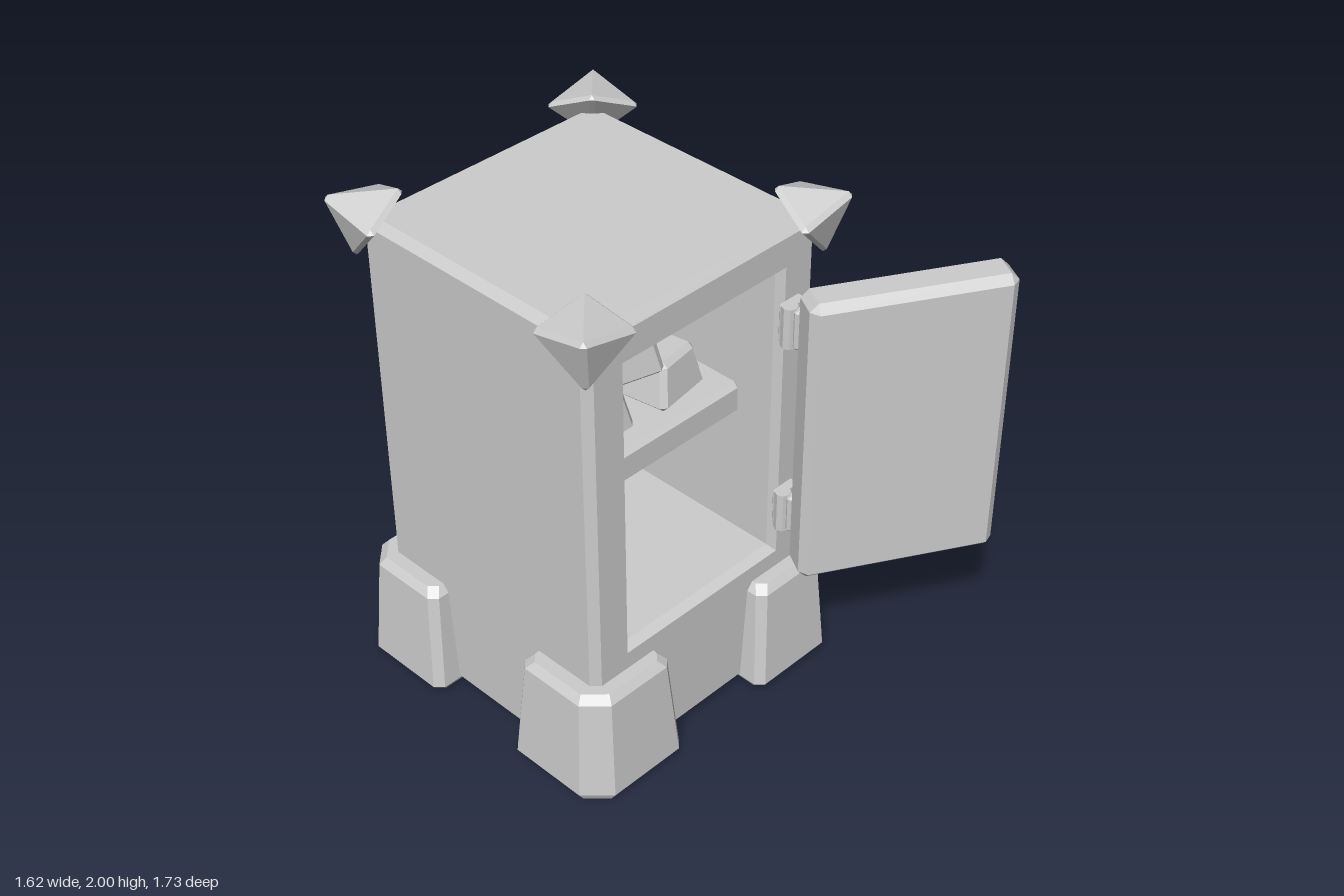
import * as THREE from 'three';
import { ConvexGeometry } from 'three/addons/geometries/ConvexGeometry.js';

const grey = new THREE.MeshStandardMaterial({ color: 0xcccccc, flatShading: true });

function part(name, geometry, parent, x = 0, y = 0, z = 0, turn = 0) {
  const mesh = new THREE.Mesh(geometry, grey);
  mesh.name = name;
  mesh.position.set(x, y, z);
  mesh.rotation.y = turn;
  parent.add(mesh);
  return mesh;
}

// Rectangle with cut corners at depth z; the +x +y corner may have its own cut
function rect(z, x0, x1, y0, y1, c = 0, k = c) {
  return [
    [x0 + c, y0, z], [x1 - c, y0, z], [x1, y0 + c, z], [x1, y1 - k, z],
    [x1 - k, y1, z], [x0 + c, y1, z], [x0, y1 - c, z], [x0, y0 + c, z],
  ];
}

// Skins a list of rings, closing the first and last one
function loft(rings) {
  const pos = [];
  const tri = (a, b, c) => pos.push(...a, ...b, ...c);
  const n = rings[0].length;
  for (let i = 0; i < rings.length - 1; i++) {
    for (let j = 0; j < n; j++) {
      const k = (j + 1) % n;
      tri(rings[i][j], rings[i][k], rings[i + 1][k]);
      tri(rings[i][j], rings[i + 1][k], rings[i + 1][j]);
    }
  }
  const first = rings[0], last = rings[rings.length - 1];
  for (let j = 1; j < n - 1; j++) {
    tri(first[0], first[j + 1], first[j]);
    tri(last[0], last[j], last[j + 1]);
  }
  const g = new THREE.BufferGeometry();
  g.setAttribute('position', new THREE.Float32BufferAttribute(pos, 3));
  g.computeVertexNormals();
  return g;
}

// Bevelled box, optionally narrower at its +z end
function bevelBox(w, h, d, c, tw = 1, th = 1) {
  const ring = (z, sx, sy, inset, cut) =>
    rect(z, -w / 2 * sx + inset, w / 2 * sx - inset, -h / 2 * sy + inset, h / 2 * sy - inset, cut);
  return loft([
    ring(-d / 2, 1, 1, c, 0), ring(-d / 2 + c, 1, 1, 0, c),
    ring(d / 2 - c, tw, th, 0, c), ring(d / 2, tw, th, c, 0),
  ]);
}

export function createModel() {
  const model = new THREE.Group();
  model.name = 'openSafe';
  const cx = -0.175, cz = -0.228;

  // Hollow body: outer shell, then through the bevelled opening to the cavity back
  const b = 0.03;
  part('body', loft([
    rect(-0.765, -0.71 + b, 0.36 - b, 0.01 + b, 1.9 - b),
    rect(-0.765 + b, -0.71, 0.36, 0.01, 1.9, b),
    rect(0.31 - b, -0.71, 0.36, 0.01, 1.9, b),
    rect(0.31, -0.71 + b, 0.36 - b, 0.01 + b, 1.9 - b),
    rect(0.31, -0.555, 0.205, 0.53, 1.755),
    rect(0.275, -0.54, 0.19, 0.55, 1.74),
    rect(-0.66, -0.51, 0.16, 0.58, 1.7),
  ]), model);

  // Four corner feet and four corner spikes
  const foot = loft([
    [0.0, 0.2, 0.07], [0.03, 0.22, 0.09], [0.43, 0.19, 0.08], [0.46, 0.165, 0.07],
  ].map(([z, h, k]) => rect(z, -h, h, -h, h, 0.03, k))).rotateX(-Math.PI / 2);

  const spikePoints = [];
  const r = 0.016;
  for (const [x, y, z] of [
    [0.068, 0.062, 0.068], [-0.095, 0.084, -0.095],
    [-0.14, 0.015, 0.065], [0.065, 0.015, -0.14], [0.015, -0.138, 0.015],
  ]) {
    for (const s of [-r, r]) {
      spikePoints.push(new THREE.Vector3(x + s, y, z),
        new THREE.Vector3(x, y + s, z), new THREE.Vector3(x, y, z + s));
    }
  }
  const spike = new ConvexGeometry(spikePoints);

  for (let i = 0; i < 4; i++) {
    const turn = i * Math.PI / 2;
    const up = new THREE.Vector3(0, 1, 0);
    const f = new THREE.Vector3(0.42, 0, -0.42).applyAxisAngle(up, turn);
    part('foot', foot, model, cx + f.x, 0, cz + f.z, turn);
    const s = new THREE.Vector3(0.535, 1.9, 0.535).applyAxisAngle(up, turn);
    part('cornerSpike', spike, model, cx + s.x, s.y, cz + s.z, turn);
  }

  // Shelf with three stacked bars
  part('shelf', bevelBox(0.745, 0.135, 0.78, 0.02), model, cx, 1.138, -0.26);
  const bar = bevelBox(0.25, 0.3, 0.18, 0.02, 0.76, 0.85).rotateX(-Math.PI / 2);
  part('bar', bar, model, -0.375, 1.293, -0.09, 0);
  part('bar', bar, model, -0.035, 1.293, -0.09, 0.16);
  part('bar', bar, model, -0.215, 1.475, -0.09, -0.26);

  // Door swung open, with its dial on the inner face
  const door = new THREE.Group();
  door.name = 'door';
  door.position.set(0.465, 1.143, 0.63);
  door.rotation.y = -Math.PI / 6;
  model.add(door);
  part('doorPanel', bevelBox(0.735, 1.17, 0.155, 0.03), door);
  const profile = [
    [0, 0], [0.165, 0], [0.175, 0.02], [0.165, 0.05], [0.135, 0.055], [0.13, 0.09],
    [0.09, 0.1], [0.085, 0.15], [0.065, 0.175], [0, 0.175],
  ].map(([x, y]) => new THREE.Vector2(x, y));
  part('dial', new THREE.LatheGeometry(profile, 10).rotateX(-Math.PI / 2), door, 0, 0.037, -0.07);

  // Two hinges: body leaf, barrel and door leaf
  for (const y of [0.755, 1.547]) {
    part('hingeBodyLeaf', bevelBox(0.1, 0.155, 0.04, 0.008), model, 0.225, y, 0.325);
    part('hingeBarrel', new THREE.CylinderGeometry(0.03, 0.03, 0.16, 8), model, 0.19, y, 0.345);
    part('hingeDoorLeaf', bevelBox(0.15, 0.155, 0.04, 0.008), door, -0.3, y - 1.143, -0.085);
  }
  return model;
}
